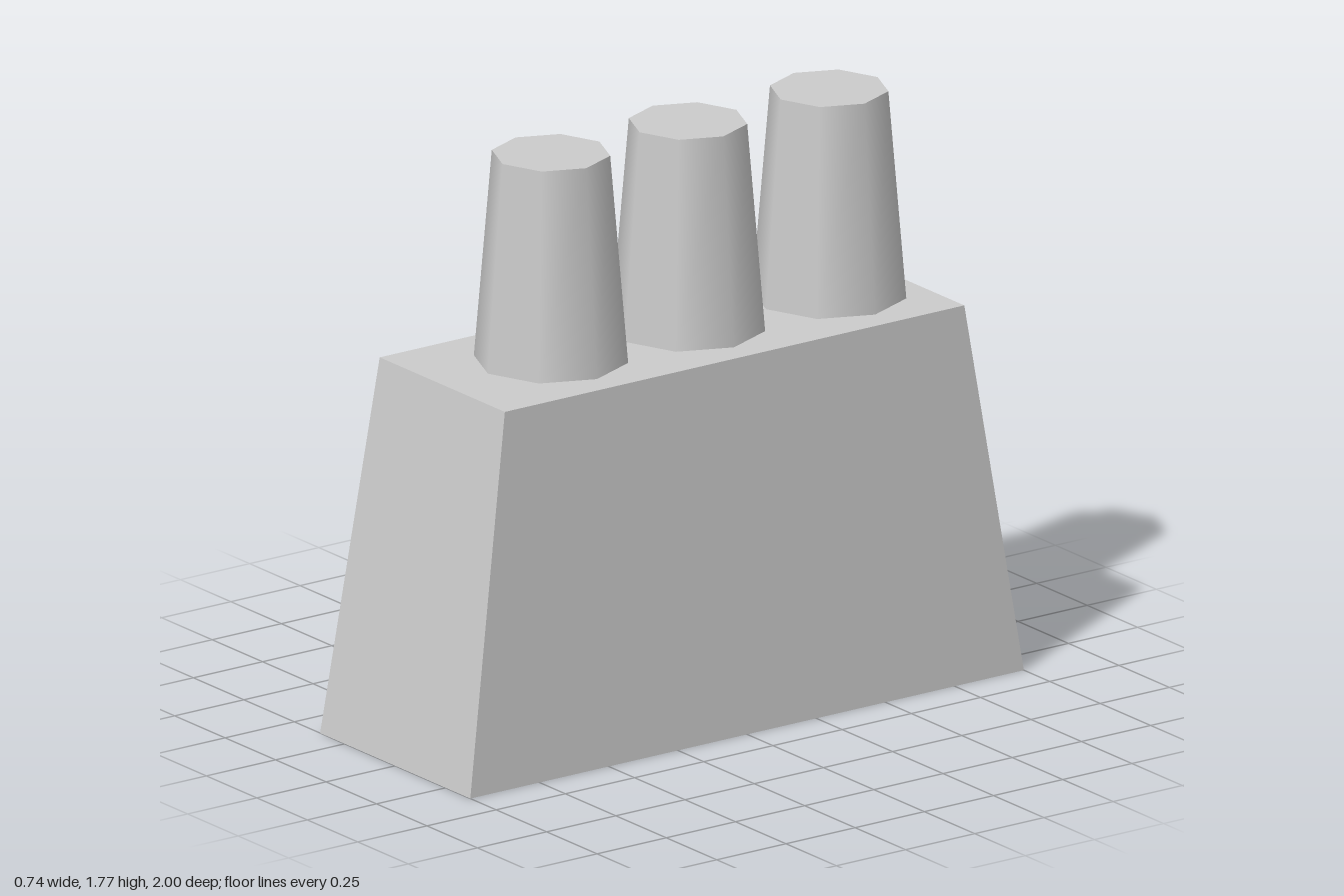
import * as THREE from 'three';

const BODY_H = 1.14, PEG_H = 0.635;
const BOTTOM = { x: 0.372, z: 1 }, TOP = { x: 0.31, z: 0.83 };

// Tapered block, hollow and open underneath
function taperedShell() {
  const geo = new THREE.BoxGeometry(2, BODY_H, 2);
  geo.translate(0, BODY_H / 2, 0);
  const pos = geo.attributes.position;
  for (let i = 0; i < pos.count; i++) {
    const size = pos.getY(i) > BODY_H / 2 ? TOP : BOTTOM;
    pos.setX(i, Math.sign(pos.getX(i)) * size.x);
    pos.setZ(i, Math.sign(pos.getZ(i)) * size.z);
  }
  // Drop the bottom face (fourth of the six box sides)
  const index = Array.from(geo.index.array);
  index.splice(18, 6);
  geo.setIndex(index);
  geo.clearGroups();
  geo.computeVertexNormals();
  return geo;
}

export function createModel() {
  const group = new THREE.Group();
  const material = new THREE.MeshStandardMaterial({ color: 0xcccccc, side: THREE.DoubleSide });

  const body = new THREE.Mesh(taperedShell(), material);
  body.name = 'body';
  group.add(body);

  // Row of three tapered eight-sided pegs with smooth sides and flat tops
  const pegGeo = new THREE.CylinderGeometry(0.175, 0.228, PEG_H, 8);
  [0.435, -0.06, -0.57].forEach((z, i) => {
    const peg = new THREE.Mesh(pegGeo, material);
    peg.name = `peg${i + 1}`;
    peg.position.set(-0.003, BODY_H + PEG_H / 2, z);
    group.add(peg);
  });

  return group;
}
